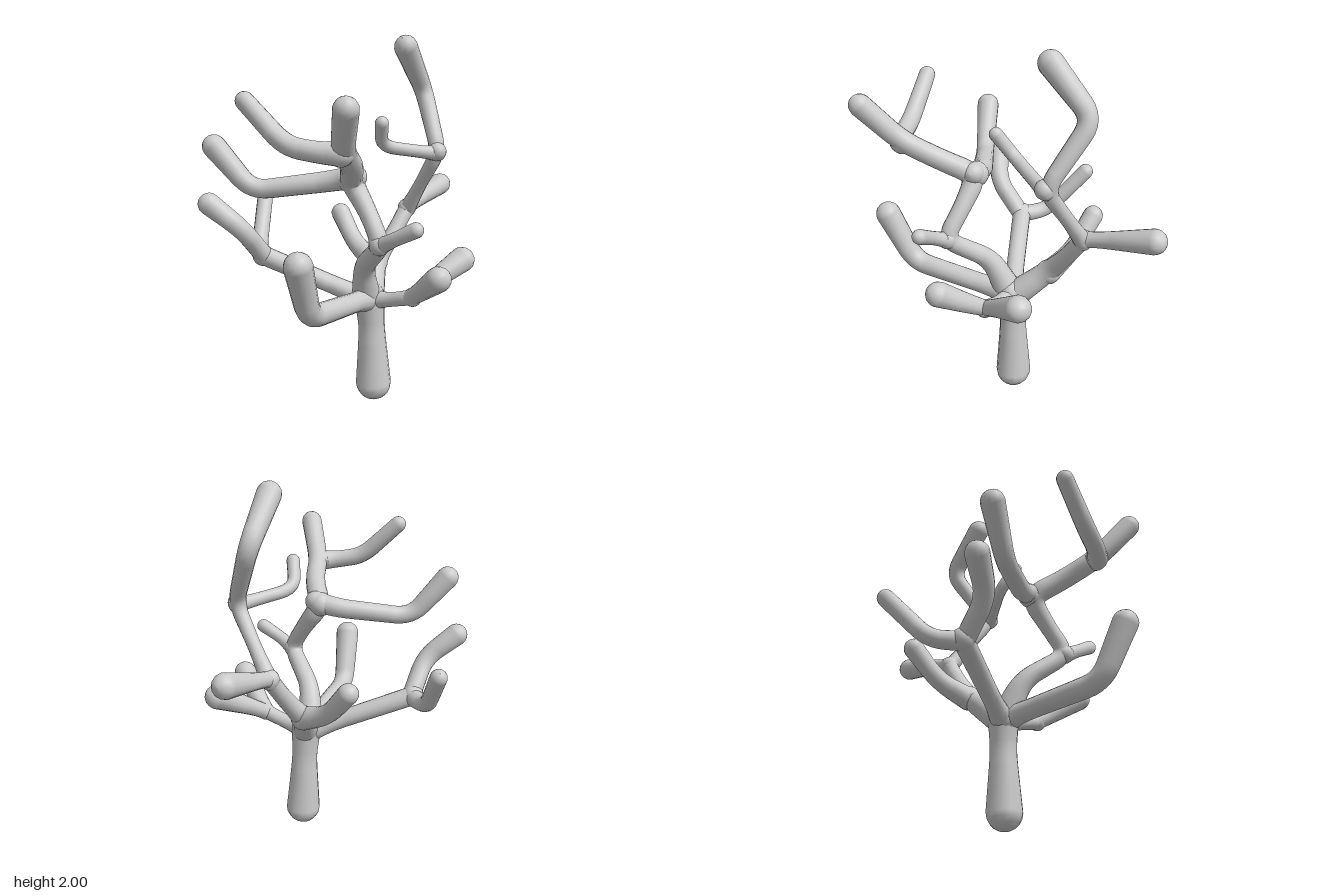
import * as THREE from 'three';

const material = new THREE.MeshStandardMaterial({ color: 0xcccccc });
const SIDES = 14;

// Polyline of (x, y, z, radius) with every corner rounded off
function roundPath(points, bend) {
  const p = points.map((a) => new THREE.Vector4(...a));
  const out = [p[0]];
  for (let i = 1; i < p.length - 1; i++) {
    const lenA = Math.hypot(p[i].x - p[i - 1].x, p[i].y - p[i - 1].y, p[i].z - p[i - 1].z);
    const lenB = Math.hypot(p[i].x - p[i + 1].x, p[i].y - p[i + 1].y, p[i].z - p[i + 1].z);
    const a = p[i].clone().lerp(p[i - 1], Math.min(0.45, bend / lenA));
    const b = p[i].clone().lerp(p[i + 1], Math.min(0.45, bend / lenB));
    for (let k = 0; k <= 6; k++) {
      const t = k / 6;
      out.push(a.clone().lerp(p[i], t).lerp(p[i].clone().lerp(b, t), t));
    }
  }
  out.push(p[p.length - 1]);
  return out;
}

// Tapered tube with domed ends swept along the rounded path
function limbGeometry(points, bend) {
  const path = roundPath(points, bend);
  const pos = path.map((q) => new THREE.Vector3(q.x, q.y, q.z));
  const n = path.length;
  const dirs = pos.map((_, i) =>
    pos[Math.min(i + 1, n - 1)].clone().sub(pos[Math.max(i - 1, 0)]).normalize());

  const rings = [];
  const u = new THREE.Vector3(0.31, 0.2, 0.93);
  for (let i = 0; i < n; i++) {
    const d = dirs[i];
    u.addScaledVector(d, -u.dot(d)).normalize();
    const v = new THREE.Vector3().crossVectors(d, u);
    const add = (shift, r) =>
      rings.push({ c: pos[i].clone().addScaledVector(d, shift), r, u: u.clone(), v });
    const r = path[i].w;
    if (i === 0) for (let k = 5; k > 0; k--) {
      const a = (k / 5) * Math.PI / 2;
      add(-r * Math.sin(a), Math.max(r * Math.cos(a), 0.0005));
    }
    add(0, r);
    if (i === n - 1) for (let k = 1; k <= 5; k++) {
      const a = (k / 5) * Math.PI / 2;
      add(r * Math.sin(a), Math.max(r * Math.cos(a), 0.0005));
    }
  }

  const verts = [], index = [];
  rings.forEach((g, i) => {
    for (let j = 0; j < SIDES; j++) {
      const a = (j / SIDES) * Math.PI * 2;
      const q = g.c.clone()
        .addScaledVector(g.u, Math.cos(a) * g.r)
        .addScaledVector(g.v, Math.sin(a) * g.r);
      verts.push(q.x, q.y, q.z);
      if (i === 0) continue;
      const k = (j + 1) % SIDES, lo = (i - 1) * SIDES, hi = i * SIDES;
      index.push(lo + j, lo + k, hi + k, lo + j, hi + k, hi + j);
    }
  });
  const geo = new THREE.BufferGeometry();
  geo.setAttribute('position', new THREE.Float32BufferAttribute(verts, 3));
  geo.setIndex(index);
  geo.computeVertexNormals();
  return geo;
}

// Each limb: points as [x, y, z, radius], from base to tip
const limbs = {
  trunk: [[0.16, 0.1, 0, 0.098], [0.15, 0.42, 0.005, 0.071], [0.145, 0.52, 0.01, 0.078], [0.14, 0.59, 0.015, 0.085]],

  frontBranch: [[0.14, 0.59, 0.03, 0.07], [0.14, 0.61, 0.15, 0.054], [0.13, 0.66, 0.63, 0.058], [0.16, 0.95, 0.77, 0.07]],

  rightSideBranch: [[0.13, 0.58, 0.02, 0.07], [0, 0.635, 0.06, 0.05], [-0.43, 0.805, 0.2, 0.054]],
  rightSideFrontFork: [[-0.42, 0.8, 0.2, 0.052], [-0.45, 0.98, 0.36, 0.052], [-0.61, 1.115, 0.43, 0.062]],
  rightSideBackFork: [[-0.42, 0.8, 0.2, 0.052], [-0.54, 0.8, 0.08, 0.045], [-0.64, 1.05, -0.13, 0.046]],

  leftSideBranch: [[0.15, 0.59, 0.01, 0.065], [0.25, 0.6, 0.03, 0.038], [0.41, 0.645, 0.05, 0.042]],
  leftSideFrontFork: [[0.4, 0.64, 0.05, 0.043], [0.48, 0.7, 0.1, 0.05], [0.615, 0.81, 0.205, 0.066]],
  leftSideBackFork: [[0.4, 0.64, 0.05, 0.043], [0.45, 0.69, -0.02, 0.046], [0.58, 0.81, -0.215, 0.07]],

  backBranch: [[0.14, 0.59, 0, 0.075], [0.08, 0.75, -0.18, 0.058], [0.13, 0.88, -0.29, 0.045], [0.17, 1.03, -0.4, 0.045]],
  backSideTwig: [[0.08, 0.74, -0.18, 0.065], [-0.09, 0.81, -0.255, 0.05], [-0.225, 0.975, -0.32, 0.056]],
  backRearTwig: [[0.17, 1.03, -0.39, 0.045], [0.18, 1.05, -0.48, 0.04], [0.22, 1.12, -0.775, 0.065]],
  backUpperBranch: [[0.17, 1.02, -0.4, 0.048], [0.26, 1.16, -0.355, 0.035], [0.405, 1.38, -0.28, 0.042],
    [0.24, 1.7, -0.45, 0.05], [0.225, 1.935, -0.23, 0.064]],
  backUpperTwig: [[0.4, 1.37, -0.28, 0.044], [0.35, 1.38, -0.22, 0.034], [0.18, 1.42, -0.03, 0.034], [0.225, 1.55, 0.055, 0.036]],

  frontUpperBranch: [[0.13, 0.59, 0.03, 0.08], [0.16, 0.8, 0.13, 0.054], [0.35, 0.97, 0.305, 0.047],
    [0.25, 1.12, 0.25, 0.046], [0.13, 1.27, 0.215, 0.06], [0.23, 1.37, 0.38, 0.056],
    [0.28, 1.46, 0.57, 0.056], [0.385, 1.66, 0.73, 0.06]],
  frontUpperTwig: [[0.33, 0.96, 0.29, 0.045], [0.42, 1.01, 0.33, 0.035], [0.545, 1.075, 0.335, 0.04]],
  frontUpperSideTwig: [[0.16, 1.29, 0.22, 0.06], [0.03, 1.26, 0.23, 0.055], [-0.35, 1.205, 0.4, 0.05], [-0.535, 1.43, 0.465, 0.063]],
  frontTopTwig: [[0.27, 1.45, 0.58, 0.06], [0.18, 1.455, 0.625, 0.05], [0.03, 1.48, 0.66, 0.05], [-0.185, 1.68, 0.67, 0.046]],
};

// Swollen joints where limbs fork: x, y, z, radius
const joints = [
  [0.14, 0.6, 0.015, 0.085], [-0.43, 0.805, 0.2, 0.06], [0.41, 0.645, 0.05, 0.05],
  [0.08, 0.745, -0.18, 0.068], [0.17, 1.03, -0.4, 0.053], [0.4, 1.38, -0.275, 0.05],
  [0.335, 0.97, 0.295, 0.054], [0.13, 1.275, 0.22, 0.068], [0.27, 1.45, 0.57, 0.064],
];

export function createModel() {
  const model = new THREE.Group();
  model.name = 'branchingTree';
  for (const [name, points] of Object.entries(limbs)) {
    const mesh = new THREE.Mesh(limbGeometry(points, 0.09), material);
    mesh.name = name;
    model.add(mesh);
  }
  for (const [x, y, z, r] of joints) {
    const joint = new THREE.Mesh(new THREE.SphereGeometry(r, 16, 12), material);
    joint.position.set(x, y, z);
    joint.name = 'forkJoint';
    model.add(joint);
  }
  return model;
}
